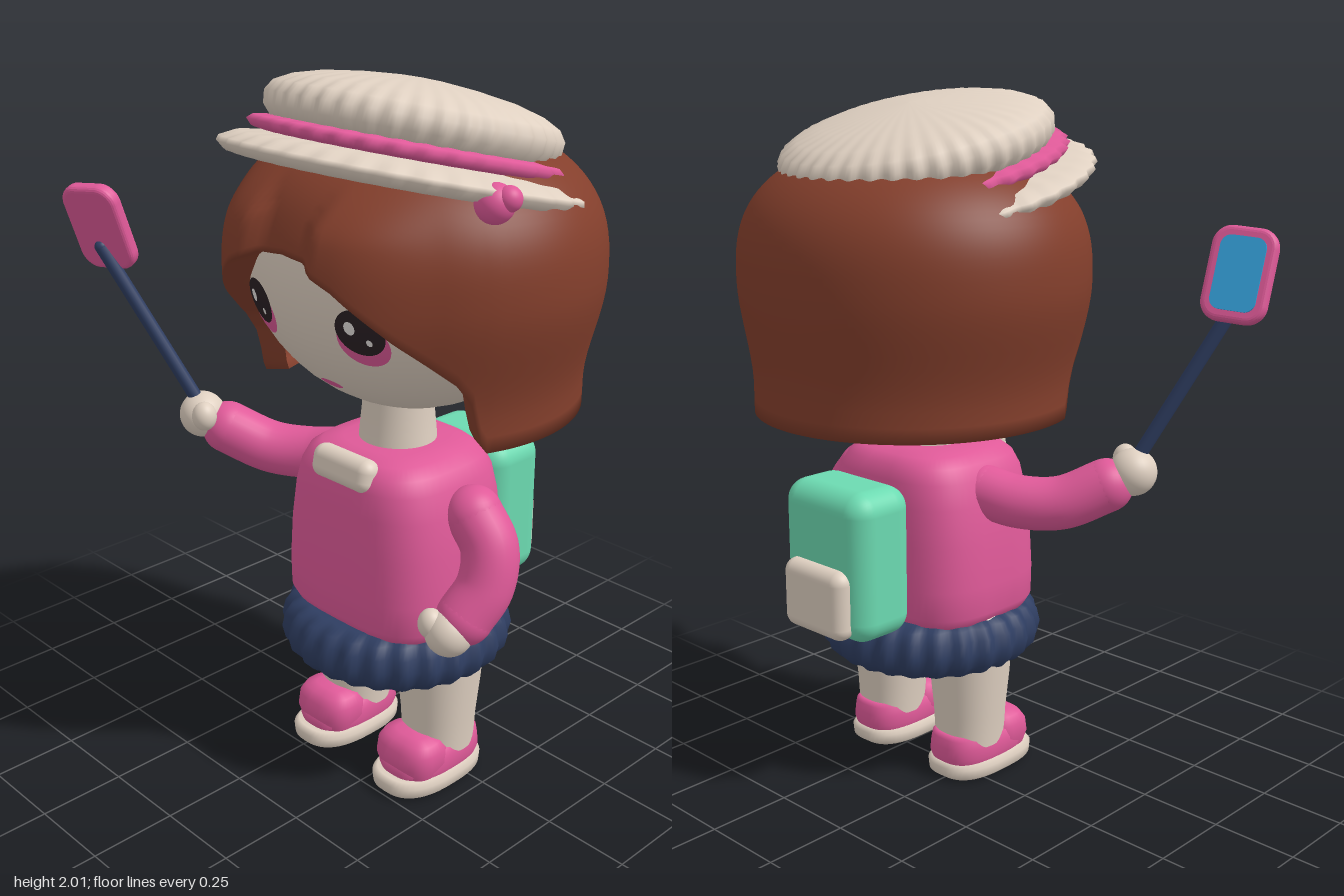
import * as THREE from 'three';
import { RoundedBoxGeometry } from 'three/addons/geometries/RoundedBoxGeometry.js';

const mat = (name, color) => {
  const m = new THREE.MeshStandardMaterial({ color, side: THREE.DoubleSide });
  m.name = name;
  return m;
};

// Closed ring surface: rows run bottom to top, point(i, angle) returns [x, y, z]
function rings(rows, seg, point) {
  const pos = [], idx = [];
  for (let i = 0; i < rows; i++)
    for (let j = 0; j < seg; j++) pos.push(...point(i, (j / seg) * Math.PI * 2));
  for (let i = 0; i < rows - 1; i++)
    for (let j = 0; j < seg; j++) {
      const k = (j + 1) % seg, a = i * seg + j, b = i * seg + k, c = a + seg, d = b + seg;
      idx.push(a, c, b, b, c, d);
    }
  const g = new THREE.BufferGeometry();
  g.setAttribute('position', new THREE.Float32BufferAttribute(pos, 3));
  g.setIndex(idx);
  g.computeVertexNormals();
  return g;
}

// Superellipse loft, rows of [y, half width, half depth, z centre]
function loft(rows, p = 2, seg = 48) {
  const f = v => Math.sign(v) * Math.abs(v) ** (2 / p);
  return rings(rows.length, seg, (i, a) => {
    const [y, hx, hz, cz = 0] = rows[i];
    return [hx * f(Math.cos(a)), y, hz * f(Math.sin(a)) + cz];
  });
}

// Pleated round form, rows of [y, radius]; pleats fade towards the axis
function pleated(rows, waves, depth, rMax) {
  return rings(rows.length, waves * 6, (i, a) => {
    const [y, r] = rows[i];
    const s = r + depth * Math.cos(a * waves) * (r / rMax) ** 2;
    return [s * Math.cos(a), y, s * Math.sin(a)];
  });
}

export function createModel() {
  const root = new THREE.Group();
  const skin = mat('cream', 0xdfd0c1), pink = mat('pink', 0xe05a99), brown = mat('brown', 0x843f2c);
  const navy = mat('navy', 0x2f3e62), mint = mat('mint', 0x6cdab1), blue = mat('screen blue', 0x35a2dd);
  const dark = mat('eye dark', 0x2a2024), white = mat('white', 0xf6f1ee);
  const CX = 0.175;

  const add = (name, geo, m, x = 0, y = 0, z = 0, parent = root) => {
    const mesh = new THREE.Mesh(geo, m);
    mesh.name = name;
    mesh.position.set(x, y, z);
    parent.add(mesh);
    return mesh;
  };
  const ball = (name, m, r, x, y, z, sx = 1, sy = 1, sz = 1) => {
    const b = add(name, new THREE.SphereGeometry(r, 32, 24), m, x, y, z);
    b.scale.set(sx, sy, sz);
    return b;
  };
  const box = (w, h, d, r) => new RoundedBoxGeometry(w, h, d, 5, r);
  const vec = p => new THREE.Vector3(...p);

  // Legs and shoes
  for (const s of [-1, 1]) {
    const x = CX + s * 0.171;
    add('sole', loft([[0, 0, 0, 0.075], [0, 0.095, 0.155, 0.075], [0.012, 0.11, 0.172, 0.075],
      [0.04, 0.112, 0.175, 0.075], [0.055, 0.1, 0.16, 0.075], [0.058, 0, 0, 0.075]], 2.6), skin, x);
    add('shoe', loft([[0.045, 0.095, 0.15, 0.065], [0.07, 0.103, 0.158, 0.065], [0.1, 0.1, 0.15, 0.06],
      [0.125, 0.094, 0.13, 0.045], [0.138, 0.08, 0.1, 0.025], [0.14, 0, 0, 0.025]], 2.7), pink, x);
    add('shoeToe', loft([[0.05, 0.09, 0.07], [0.09, 0.102, 0.082], [0.13, 0.1, 0.074],
      [0.155, 0.085, 0.056], [0.165, 0.05, 0.03], [0.166, 0, 0]], 2.8), pink, x, 0, 0.137);
    add('leg', loft([[0.1, 0.1, 0.1], [0.2, 0.106, 0.104], [0.32, 0.118, 0.115], [0.45, 0.126, 0.122]], 2.2), skin, x, 0, 0.03);
  }

  // Hips, skirt and shirt
  ball('hips', skin, 1, CX, 0.47, 0.03, 0.295, 0.11, 0.16);
  add('skirt', pleated([[0.37, 0], [0.355, 0.14], [0.342, 0.24], [0.36, 0.29], [0.39, 0.318], [0.43, 0.327],
    [0.47, 0.318], [0.5, 0.298], [0.515, 0.26], [0.515, 0]], 26, 0.008, 0.327), navy, CX, 0, 0.035);
  add('shirt', loft([[0.485, 0, 0], [0.487, 0.235, 0.195], [0.5, 0.265, 0.225], [0.535, 0.284, 0.243], [0.62, 0.285, 0.245],
    [0.75, 0.278, 0.24], [0.86, 0.262, 0.233], [0.93, 0.242, 0.224], [0.97, 0.22, 0.208], [0.995, 0.185, 0.18],
    [1.007, 0.13, 0.13], [1.01, 0, 0]], 3.2, 64), pink, CX, 0, 0.04);
  add('collar', box(0.225, 0.095, 0.07, 0.034), skin, CX, 0.965, 0.235).rotation.x = -0.2;
  add('neck', loft([[0.95, 0.115, 0.112], [1.03, 0.108, 0.106], [1.1, 0.1, 0.1], [1.2, 0.1, 0.1]]), skin, CX, 0, 0.035);

  // Head, with painted features wrapped onto its surface
  const head = { x: CX, y: 1.53, z: 0.04, rx: 0.485, ry: 0.412, rz: 0.36 };
  ball('head', skin, 1, head.x, head.y, head.z, head.rx, head.ry, head.rz);
  const paint = (name, m, x, y, w, h, lift) => {
    const g = new THREE.RingGeometry(0, 1, 32, 4), p = g.attributes.position;
    for (let i = 0; i < p.count; i++) {
      const px = x + p.getX(i) * w, py = y + p.getY(i) * h;
      const q = 1 - ((px - head.x) / head.rx) ** 2 - ((py - head.y) / head.ry) ** 2;
      p.setXYZ(i, px, py, head.z + head.rz * Math.sqrt(q) + lift);
    }
    g.computeVertexNormals();
    add(name, g, m);
  };
  for (const s of [-1, 1]) {
    const x = CX + s * 0.188;
    paint('iris', pink, x, 1.393, 0.07, 0.064, 0.003);
    paint('pupil', dark, x, 1.423, 0.066, 0.062, 0.006);
    paint('eyeGlint', white, x - 0.022, 1.433, 0.015, 0.018, 0.009);
    paint('eyeGlintSmall', white, x + 0.025, 1.4, 0.008, 0.009, 0.009);
  }
  paint('mouth', pink, CX, 1.222, 0.04, 0.013, 0.004);

  // Bobbed hair: a dome whose lower edge arches over the face
  const edge = [[0, 1.6], [10, 1.59], [20, 1.545], [37, 1.425], [56, 1.31], [62, 1.25], [67, 1.115], [180, 1.115]];
  const edgeY = deg => {
    const k = Math.max(1, edge.findIndex(e => e[0] >= deg));
    const [a, ya] = edge[k - 1], [b, yb] = edge[k];
    return ya + ((yb - ya) * (deg - a)) / (b - a);
  };
  const { smoothstep } = THREE.MathUtils;
  const N = 36;
  add('hair', rings(N + 2, 180, (i, a) => {
    const d = Math.abs(THREE.MathUtils.radToDeg(a) - 90), deg = Math.min(180, d > 180 ? 360 - d : d);
    const low = edgeY(deg), t = Math.max(0, i - 1) / N;
    const y = 1.89 - (1.89 - low) * (1 - t) ** 2;
    let r = y > 1.5 ? 0.525 * Math.sqrt(Math.max(0, 1 - ((y - 1.5) / 0.39) ** 2.7))
      : 0.46 + 0.065 * smoothstep(y, 1.18, 1.5);
    if (i === N + 1) r = 0;
    // Swept fringe locks stand proud of the centre parting
    const parting = 9 + 60 * Math.max(0, y - 1.68);
    r += 0.035 * (smoothstep(deg, parting, parting + 5) * (1 - smoothstep(deg, 20, 50)) - (deg < parting ? 0.3 : 0))
      * (1 - smoothstep(y, 1.65, 1.8));
    if (i === 0) r *= 0.84;
    const depth = y < 1.5 ? 1.01 - 0.085 * smoothstep(y, 1.15, 1.5) : 0.925;
    return [r * Math.cos(a), y + (i === 0 ? 0.012 : 0), r * depth * Math.sin(a)];
  }), brown, CX, 0, -0.025);

  // Tilted pleated hat
  const hat = new THREE.Group();
  hat.name = 'hat';
  hat.position.set(CX, 1.745, 0.02);
  hat.rotation.x = -0.242;
  root.add(hat);
  add('hatBrim', pleated([[-0.02, 0.34], [-0.03, 0.43], [-0.025, 0.465], [-0.006, 0.487], [0.008, 0.483],
    [0.03, 0.44], [0.045, 0.34]], 36, 0.006, 0.487), skin, 0, 0, 0, hat);
  add('hatBand', pleated([[0.035, 0.34], [0.045, 0.405], [0.062, 0.42], [0.075, 0.405], [0.085, 0.34]], 36, 0.006, 0.42), pink, 0, 0, 0, hat);
  add('hatCrown', pleated([[0.06, 0.3], [0.075, 0.36], [0.105, 0.385], [0.14, 0.388], [0.168, 0.37], [0.192, 0.325],
    [0.213, 0.25], [0.228, 0.15], [0.236, 0.06], [0.238, 0]], 40, 0.005, 0.388), skin, 0, 0, 0, hat);
  ball('hatBobble', pink, 0.05, 0.61, 1.755, 0.16);
  ball('hatBobbleSmall', pink, 0.032, 0.645, 1.77, 0.15);

  // Arms: tube sleeves with rounded ends, hands and thumbs
  const arm = (side, pts, r, hand, thumb) => {
    const curve = new THREE.CatmullRomCurve3(pts.map(vec));
    add(side + 'Sleeve', new THREE.TubeGeometry(curve, 32, r, 24), pink);
    ball(side + 'Shoulder', pink, r, ...pts[0]);
    ball(side + 'Cuff', pink, r, ...pts[pts.length - 1], 1, 1, 1);
    ball(side + 'Hand', skin, 0.068, ...hand);
    ball(side + 'Thumb', skin, 0.036, ...thumb, 1, 1.2, 1);
  };
  arm('left', [[0.46, 0.86, 0.03], [0.52, 0.78, 0.03], [0.535, 0.68, 0.06], [0.515, 0.6, 0.115]], 0.079,
    [0.5, 0.565, 0.16], [0.465, 0.59, 0.195]);
  arm('right', [[-0.04, 0.885, 0.04], [-0.14, 0.865, 0.075], [-0.25, 0.87, 0.14], [-0.35, 0.925, 0.22]], 0.077,
    [-0.405, 0.965, 0.27], [-0.345, 0.985, 0.31]);

  // Selfie stick and phone
  const stick = new THREE.LineCurve3(vec([-0.4, 0.98, 0.27]), vec([-0.615, 1.465, 0.445]));
  add('stick', new THREE.TubeGeometry(stick, 1, 0.02, 16), navy);
  ball('stickTip', navy, 0.02, -0.615, 1.465, 0.445);
  const phone = new THREE.Group();
  phone.name = 'phone';
  phone.position.set(-0.612, 1.525, 0.445);
  phone.rotation.set(0.32, 0.33, 0.08, 'YXZ');
  root.add(phone);
  const rounded = (w, h, d, r, bevel) => {
    const s = new THREE.Shape(), x = w / 2, y = h / 2;
    s.absarc(x - r, y - r, r, 0, Math.PI / 2);
    s.absarc(r - x, y - r, r, Math.PI / 2, Math.PI);
    s.absarc(r - x, r - y, r, Math.PI, Math.PI * 1.5);
    s.absarc(x - r, r - y, r, Math.PI * 1.5, Math.PI * 2);
    return new THREE.ExtrudeGeometry(s, { depth: d, bevelEnabled: bevel > 0, bevelSize: bevel, bevelThickness: bevel, bevelSegments: 4 });
  };
  add('phoneCase', rounded(0.155, 0.235, 0.014, 0.04, 0.015), pink, 0, 0, -0.007, phone);
  add('phoneScreen', rounded(0.128, 0.205, 0.006, 0.03, 0), blue, 0, 0, -0.027, phone);

  // Backpack
  add('backpack', box(0.34, 0.44, 0.215, 0.065), mint, CX, 0.72, -0.297);
  add('backpackPocket', box(0.25, 0.205, 0.08, 0.038), skin, CX, 0.618, -0.405);

  return root;
}
